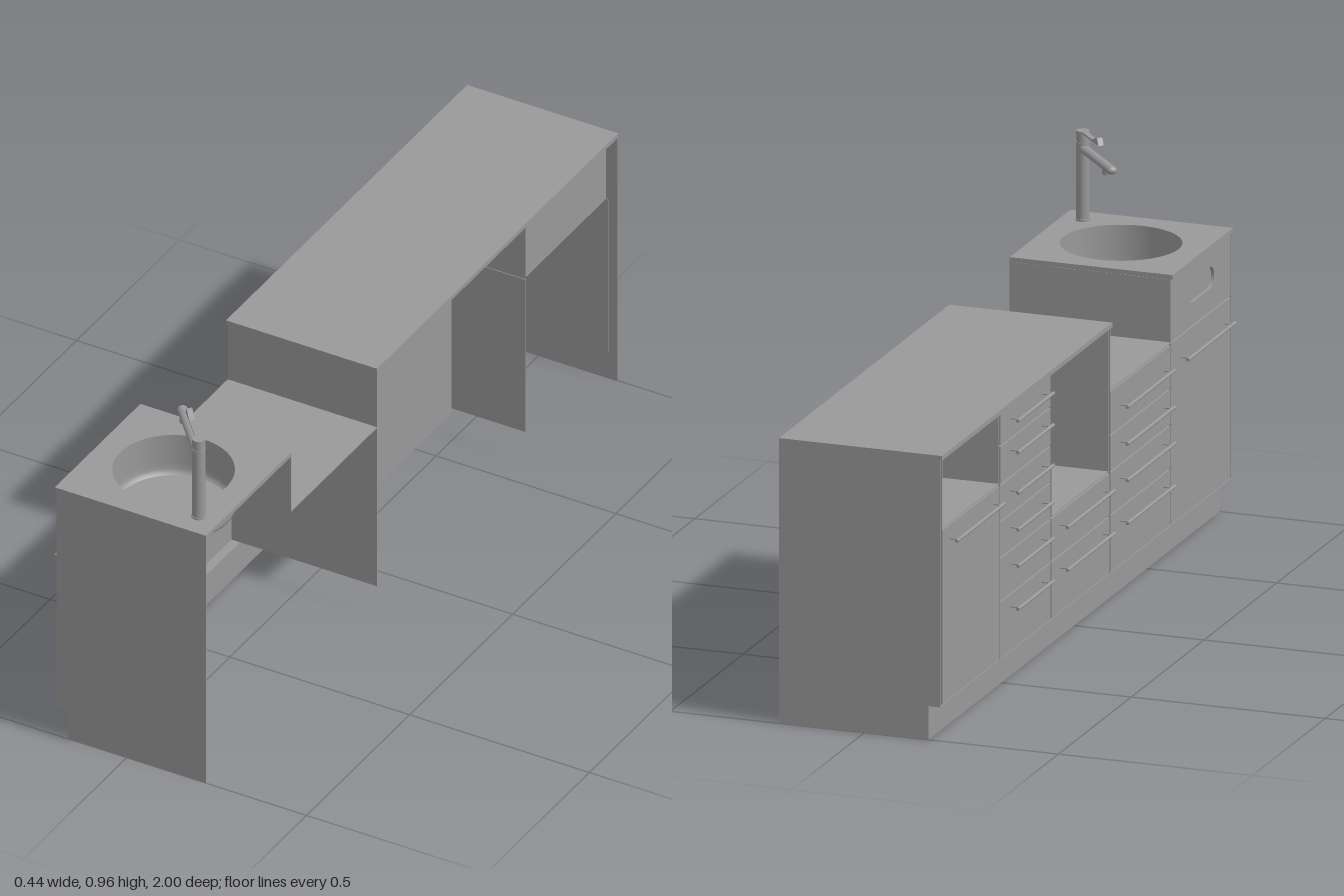
import * as THREE from 'three';

const mat = new THREE.MeshStandardMaterial({ color: 0x999999, side: THREE.DoubleSide });
const FRONT = -0.195, BACK = 0.22, KICK = 0.087, TOP = 0.72, UNDER = TOP - 0.012;

export function createModel() {
  const root = new THREE.Group();

  const add = (name, geo, parent = root) => {
    const m = new THREE.Mesh(geo, mat);
    m.name = name;
    parent.add(m);
    return m;
  };
  // box given by its limits on each axis
  const box = (name, x0, x1, y0, y1, z0, z1, parent) => {
    const m = add(name, new THREE.BoxGeometry(x1 - x0, y1 - y0, z1 - z0), parent);
    m.position.set((x0 + x1) / 2, (y0 + y1) / 2, (z0 + z1) / 2);
    return m;
  };
  // cylinder between two points
  const rod = (name, a, b, r, parent, seg = 12) => {
    const p = new THREE.Vector3(...a), q = new THREE.Vector3(...b), d = q.clone().sub(p);
    const m = add(name, new THREE.CylinderGeometry(r, r, d.length(), seg), parent);
    m.position.copy(p).add(q).multiplyScalar(0.5);
    m.quaternion.setFromUnitVectors(new THREE.Vector3(0, 1, 0), d.normalize());
    return m;
  };
  const outline = pts => new THREE.Shape(pts.map(p => new THREE.Vector2(...p)));
  const extrude = (shape, depth) =>
    new THREE.ExtrudeGeometry(shape, { depth, bevelEnabled: false, curveSegments: 48 });

  // end panels with the toe-kick notch
  const sideGeo = extrude(outline([
    [BACK, 0], [BACK, UNDER], [FRONT, UNDER], [FRONT, KICK], [-0.165, KICK], [-0.165, 0],
  ]), 0.003);
  add('endPanelSink', sideGeo).position.z = 0.997;
  add('endPanelFar', sideGeo).position.z = -1;

  // plinth and the narrow floor strip above it
  box('kickPlate', -0.165, -0.161, 0, KICK, -0.997, 0.997);
  box('floorStrip', FRONT, -0.161, KICK - 0.003, KICK, -0.997, 0.997);

  // worktops
  box('tallWorktop', -0.2, BACK, UNDER, TOP, -1, 0.17);
  box('lowWorktop', FRONT, BACK, 0.547, 0.55, 0.17, 0.585);

  // sink worktop with round opening
  const BX = 0.01, BZ = 0.79;
  const slab = outline([[-0.2, -1], [BACK, -1], [BACK, -0.585], [-0.2, -0.585]]);
  slab.holes.push(new THREE.Path().absarc(BX, -BZ, 0.148, 0, Math.PI * 2, true));
  add('sinkWorktop', extrude(slab, 0.012).rotateX(-Math.PI / 2)).position.y = UNDER;

  // upright panels
  box('sinkSidePanel', FRONT, BACK, 0.55, UNDER, 0.584, 0.586);
  box('tallSidePanel', FRONT, BACK, KICK, UNDER, 0.168, 0.17);
  box('middlePartition', FRONT, 0.2, KICK, 0.53, -0.587, -0.585);
  box('farInnerPanel', FRONT, 0.2, KICK, 0.53, -0.987, -0.985);

  // open niches facing the working side
  const niche = (name, z0, z1, y0) => {
    const g = new THREE.Group();
    g.name = name;
    root.add(g);
    box('nicheFloor', FRONT, 0.195, y0, y0 + 0.003, z0, z1, g);
    box('nicheBack', 0.192, 0.195, y0, UNDER, z0, z1, g);
    box('nicheSide', FRONT, 0.195, y0, UNDER, z0, z0 + 0.002, g);
    box('nicheSide', FRONT, 0.195, y0, UNDER, z1 - 0.002, z1, g);
  };
  niche('largeNiche', -0.235, 0.157, 0.345);
  niche('smallNiche', -0.985, -0.595, 0.53);

  // drawer and door fronts with bar handles
  const handle = (y, z0, z1, parent) => {
    rod('handleBar', [-0.219, y, z0], [-0.219, y, z1], 0.0045, parent);
    for (const z of [z0 + 0.015, z1 - 0.015])
      rod('handlePost', [-0.219, y, z], [FRONT, y, z], 0.002, parent, 8);
  };
  const column = (name, z0, z1, tops, grips, h0, h1, backTop) => {
    const g = new THREE.Group();
    g.name = name;
    root.add(g);
    tops.forEach((top, i) => {
      const low = i + 1 < tops.length ? tops[i + 1] + 0.004 : KICK + 0.002;
      box('front', FRONT, -0.187, low, top, z0 + 0.003, z1 - 0.003, g);
      handle(grips[i], h0, h1, g);
    });
    box('frontBacking', -0.187, -0.184, KICK, backTop, z0, z1, g);
  };
  const tops = [0.704, 0.622, 0.525, 0.432, 0.34, 0.23];
  const grips = [0.675, 0.595, 0.493, 0.4, 0.308, 0.2];
  column('farDoor', -0.985, -0.587, [0.526], [0.493], -0.95, -0.62, 0.53);
  column('tallDrawers', -0.587, -0.237, tops, grips, -0.53, -0.285, UNDER);
  column('nicheDrawers', -0.237, 0.168, tops.slice(4), grips.slice(4), -0.19, 0.135, 0.345);
  column('lowDrawers', 0.17, 0.585, [0.543, ...tops.slice(3)], grips.slice(2), 0.222, 0.548, 0.547);
  column('sinkDoor', 0.585, 0.997, [0.546], [0.493], 0.638, 0.964, UNDER);

  // cross rails inside the low drawer unit
  for (const y of tops.slice(3)) box('drawerRail', -0.184, -0.168, y, y + 0.003, 0.17, 0.585);

  // upper sink front with a slotted recess
  const panel = outline([[0.588, 0.55], [0.994, 0.55], [0.994, 0.705], [0.588, 0.705]]);
  const slot = new THREE.Path();
  slot.absarc(0.855, 0.635, 0.027, -Math.PI / 2, Math.PI / 2, false);
  slot.absarc(0.735, 0.635, 0.027, Math.PI / 2, Math.PI * 1.5, false);
  slot.closePath();
  panel.holes.push(slot);
  add('sinkUpperFront', extrude(panel, 0.008).rotateY(-Math.PI / 2)).position.x = -0.187;

  // basin wall, flat basin floor and drain
  const wall = [[0.142, 0.607], [0.148, 0.611], [0.151, 0.62], [0.152, 0.635], [0.152, UNDER]]
    .map(p => new THREE.Vector2(...p));
  add('basinWall', new THREE.LatheGeometry(wall, 48)).position.set(BX, 0, BZ);
  const floor = add('basinFloor', new THREE.CircleGeometry(0.142, 48).rotateX(-Math.PI / 2));
  floor.position.set(BX, 0.607, BZ);
  rod('drain', [BX, 0.601, BZ], [BX, 0.607, BZ], 0.02, root, 24);

  // tap, modelled along +x and then turned toward the basin
  const tap = new THREE.Group();
  tap.name = 'tap';
  tap.position.set(0.163, TOP, 0.935);
  tap.rotation.y = Math.atan2(0.75, -0.66);
  root.add(tap);
  rod('tapBase', [0, 0, 0], [0, 0.005, 0], 0.018, tap, 32);
  rod('tapColumn', [0, 0, 0], [0, 0.197, 0], 0.016, tap, 32);
  rod('tapNeck', [0, 0.197, 0], [0, 0.2, 0], 0.0145, tap, 32);
  rod('tapCap', [0, 0.2, 0], [0, 0.226, 0], 0.016, tap, 32);
  const spout = add('spout', new THREE.CapsuleGeometry(0.01, 0.19, 8, 20), tap);
  spout.rotation.z = Math.PI / 2;
  spout.position.set(0.102, 0.181, 0);
  spout.scale.z = 1.3;
  rod('nozzle', [0.168, 0.164, 0], [0.168, 0.18, 0], 0.013, tap, 20);
  const lever = outline([[0, 0.222], [0.124, 0.222], [0.115, 0.239], [0.109, 0.239], [0.08, 0.226], [0, 0.226]]);
  add('lever', extrude(lever, 0.014), tap).position.z = -0.007;

  return root;
}
